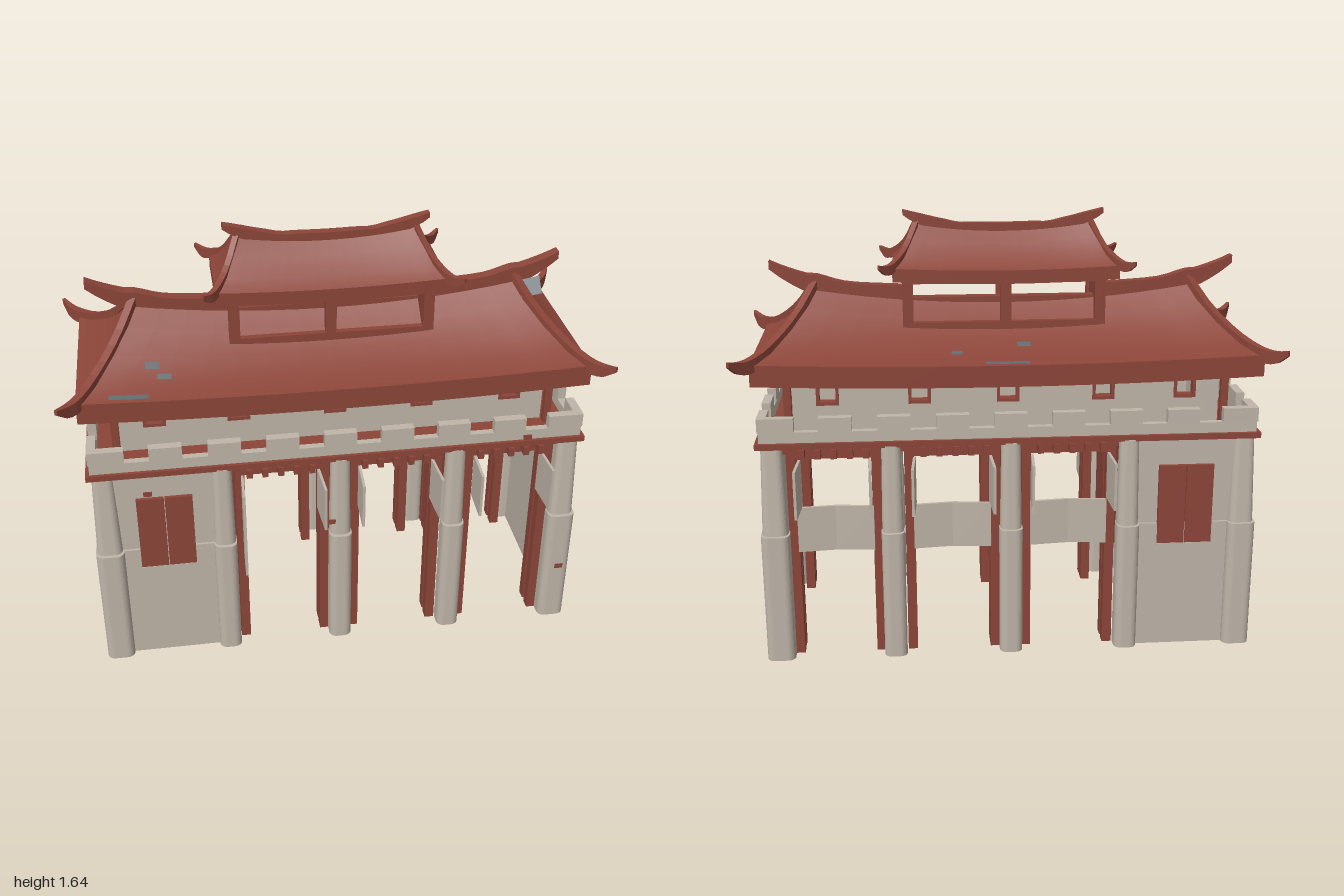
import * as THREE from 'three';
import { mergeGeometries } from 'three/addons/utils/BufferGeometryUtils.js';

const mat = (name, color) => {
  const m = new THREE.MeshStandardMaterial({ color });
  m.name = name;
  return m;
};

export function createModel() {
  const root = new THREE.Group();
  root.name = 'gatehouse';
  const stone = mat('stone', 0xbfb5a8);
  const red = mat('red timber', 0x8c4539);
  const slate = mat('slate', 0x5f696f);

  const add = (name, geo, m, parent = root) => {
    const mesh = new THREE.Mesh(geo, m);
    mesh.name = name;
    parent.add(mesh);
    return mesh;
  };
  // Box given by its limits
  const block = (x0, x1, y0, y1, z0, z1) =>
    new THREE.BoxGeometry(Math.abs(x1 - x0), y1 - y0, Math.abs(z1 - z0))
      .translate((x0 + x1) / 2, (y0 + y1) / 2, (z0 + z1) / 2);
  // Upright pier with rounded corners; topX and topZ shrink the top
  const pier = (x0, x1, y0, y1, z0, z1, topX = 1, topZ = 1, r = .028) => {
    const w = Math.abs(x1 - x0) / 2 - r, d = Math.abs(z1 - z0) / 2 - r, h = y1 - y0;
    const s = new THREE.Shape();
    [[w, d], [-w, d], [-w, -d], [w, -d]].forEach(([x, y], i) => s.absarc(x, y, r, i * Math.PI / 2, (i + 1) * Math.PI / 2));
    const g = new THREE.ExtrudeGeometry(s, { depth: h, bevelEnabled: false, curveSegments: 4 }).rotateX(-Math.PI / 2);
    const p = g.attributes.position;
    for (let i = 0; i < p.count; i++) {
      if (p.getY(i) > h / 2) p.setXYZ(i, p.getX(i) * topX, h, p.getZ(i) * topZ);
    }
    g.computeVertexNormals();
    return g.translate((x0 + x1) / 2, y0, (z0 + z1) / 2);
  };
  // Rectangular bar swept along points [x, y, z, width, height]
  const bar = (pts, steps = 12) => {
    const path = new THREE.CatmullRomCurve3(pts.map(p => new THREE.Vector3(p[0], p[1], p[2])));
    const size = new THREE.CatmullRomCurve3(pts.map(p => new THREE.Vector3(p[3], p[4], 0)));
    const pos = [], idx = [];
    for (let i = 0; i <= steps; i++) {
      const c = path.getPoint(i / steps), s = size.getPoint(i / steps), t = path.getTangent(i / steps);
      const side = new THREE.Vector3(-t.z, 0, t.x).normalize().multiplyScalar(s.x / 2);
      for (const [a, b] of [[-1, -1], [1, -1], [1, 1], [-1, 1]]) {
        pos.push(c.x + side.x * a, c.y + b * s.y / 2, c.z + side.z * a);
      }
    }
    for (let i = 0; i < steps; i++) for (let k = 0; k < 4; k++) {
      const a = i * 4 + k, b = i * 4 + (k + 1) % 4;
      idx.push(a, b + 4, b, a, a + 4, b + 4);
    }
    const e = steps * 4;
    idx.push(0, 1, 2, 0, 2, 3, e, e + 2, e + 1, e, e + 3, e + 2);
    const g = new THREE.BufferGeometry();
    g.setAttribute('position', new THREE.Float32BufferAttribute(pos, 3));
    g.setIndex(idx);
    const flat = g.toNonIndexed();
    flat.computeVertexNormals();
    return flat;
  };
  // Four curved faces following rings [halfX, halfZ, y, cornerLift]; short ends are lifted evenly
  const hipFaces = (rings, n = 14) => {
    const faces = [];
    for (let s = 0; s < 4; s++) {
      const pos = [], idx = [];
      rings.forEach(([hx, hz, y, lift]) => {
        for (let i = 0; i <= n; i++) {
          const u = i / n * 2 - 1, h = y + lift * (s % 2 ? 1 : u * u);
          pos.push(...[[u * hx, h, hz], [hx, h, -u * hz], [-u * hx, h, -hz], [-hx, h, u * hz]][s]);
        }
      });
      for (let r = 0; r < rings.length - 1; r++) for (let i = 0; i < n; i++) {
        const a = r * (n + 1) + i, b = a + n + 1;
        idx.push(a, a + 1, b + 1, a, b + 1, b);
      }
      const g = new THREE.BufferGeometry();
      g.setAttribute('position', new THREE.Float32BufferAttribute(pos, 3));
      g.setIndex(idx);
      g.computeVertexNormals();
      faces.push(g);
    }
    return mergeGeometries(faces);
  };
  const hipRoof = (name, rings, fasciaY, hip, ridge) => {
    const g = new THREE.Group();
    g.name = name;
    root.add(g);
    const [hx, hz, y, lift] = rings[0];
    add('roofSlopes', hipFaces(rings), red, g);
    add('eaveFascia', hipFaces([[hx, hz, fasciaY, lift], [hx, hz, y, lift]]), red, g);
    add('soffit', block(-hx + .002, hx - .002, fasciaY + lift, fasciaY + lift + .02, -hz + .002, hz - .002), red, g);
    for (const sx of [-1, 1]) {
      add('mainRidge', bar(ridge.map(p => [p[0] * sx, p[1], 0, p[2], p[3]]), 16), red, g);
      for (const sz of [-1, 1]) add('hipRidge', bar(hip.map(p => [p[0] * sx, p[1], p[2] * sz, p[3], p[4]])), red, g);
    }
  };
  const shapeOf = pts => new THREE.Shape(pts.map(p => new THREE.Vector2(...p)));
  // Upright wall with square window holes, facing +z
  const windowWall = (w, y0, y1, holes, depth) => {
    const s = shapeOf([[-w, y0], [w, y0], [w, y1], [-w, y1]]);
    for (const x of holes) s.holes.push(shapeOf([[x - .035, .96], [x - .035, 1.04], [x + .035, 1.04], [x + .035, .96]]));
    return new THREE.ExtrudeGeometry(s, { depth, bevelEnabled: false });
  };
  const frame = (cx, cy, hw, hh, t, d) => mergeGeometries([
    block(cx - hw, cx + hw, cy + hh - t, cy + hh, 0, d), block(cx - hw, cx + hw, cy - hh, cy - hh + t, 0, d),
    block(cx - hw, cx - hw + t, cy - hh, cy + hh, 0, d), block(cx + hw - t, cx + hw, cy - hh, cy + hh, 0, d)]);

  // Stone piers, timber posts and the chamber walls, same on front and back
  for (const s of [1, -1]) {
    for (const sx of [-1, 1]) {
      add('cornerPierBase', pier(sx * .82, sx * .925, 0, .5, s * .28, s * .4), stone);
      add('cornerPierTop', pier(sx * .825, sx * .92, .5, .835, s * .285, s * .385, .8, .68), stone);
    }
    for (const x of [-.44, 0, .44]) {
      add('pierBase', pier(x - .043, x + .043, 0, .5, s * .31, s * .4), stone);
      add('pierTop', pier(x - .04, x + .04, .5, .835, s * .305, s * .385, .88, .8), stone);
    }
    for (const x of [-.375, -.058, .058, .375, .495, .805]) {
      for (const z of [.32, .26]) add('timberPost', block(x - .018, x + .018, 0, .83, s * (z - .02), s * (z + .02)), red);
    }
    add('chamberWallBase', block(-.83, -.47, 0, .5, s * .34, s * .368), stone);
    add('chamberWallTop', block(-.85, -.45, .5, .835, s * .34, s * .358), stone);
    for (const x of [-.709, -.604]) add('chamberShutter', block(x - .051, x + .051, .42, .73, s * .33, s * .372), red);
    add('windowSill', block(-.76, -.55, .41, .42, s * .34, s * .374), stone);

    // Lintels and brackets over the three bays
    for (const [a, b] of [[-.39, -.04], [.04, .39], [.48, .82]]) {
      add('bayLintel', block(a, b, .785, .83, s * .29, s * .345), red);
      for (let x = a + .05; x < b - .02; x += .058) add('bracket', block(x - .011, x + .011, .795, .83, s * .34, s * .385), red);
    }
    // Open shutters standing out of the bays
    [-.365, -.08, .075, .355, .52, .775].forEach((x, i) => {
      const tall = s > 0 && i === 0;
      const m = add('openShutter', block(-.005, .005, tall ? .42 : .6, .78, 0, s * .145), stone);
      m.position.set(x, 0, s * .335);
      m.rotation.y = s * (i % 2 ? .06 : -.04);
    });
  }
  // Low stone panels across the rear of each bay
  for (const [a, b] of [[-.36, -.075], [.075, .36], [.51, .79]]) {
    const w = (b - a) / 2 + .002;
    for (const k of [-1, 1]) {
      const m = add('bayPanel', block(-w / 2, w / 2, .42, .595, -.006, .006), stone);
      m.position.set((a + b) / 2 + k * w / 2, 0, -.335);
      m.rotation.y = k * .1;
    }
  }
  // Arched timber partitions behind the inner piers, the chamber one reaching lower
  for (const [x, foot] of [[-.44, .28], [0, .4], [.44, .4]]) {
    const arch = new THREE.Shape();
    arch.moveTo(-.3, foot);
    arch.quadraticCurveTo(0, foot + .18, .3, foot);
    arch.lineTo(.3, .82);
    arch.lineTo(-.3, .82);
    const g = new THREE.ExtrudeGeometry(arch, { depth: .03, bevelEnabled: false, curveSegments: 10 });
    add('archedPartition', g.rotateY(Math.PI / 2).translate(x - .015, 0, 0), red);
  }
  // Closed right end with a small window, open left end
  add('endWallBase', block(.87, .912, 0, .5, -.3, .3), stone);
  add('endWallTop', block(.865, .9, .5, .835, -.31, .31), stone);
  const endWindow = new THREE.Group();
  endWindow.name = 'endWindow';
  endWindow.position.x = .895;
  endWindow.rotation.y = Math.PI / 2;
  root.add(endWindow);
  add('windowBacking', block(-.06, .06, .6, .72, 0, .008), red, endWindow);
  add('windowPane', block(-.04, .04, .645, .66, .003, .0095), slate, endWindow);
  add('windowFrame', frame(0, .66, .063, .063, .02, .014), red, endWindow);
  add('windowMullion', block(-.004, .004, .6, .72, 0, .012), red, endWindow);
  add('windowRail', block(-.06, .06, .664, .672, 0, .012), red, endWindow);
  add('openEndLintel', block(-.9, -.865, .74, .835, -.31, .31), stone);

  // Deck and battlements
  add('deck', block(-.89, .89, .8, .83, -.335, .335), red);
  add('redLedge', block(-.93, .93, .83, .852, -.375, .375), red);
  for (const s of [1, -1]) {
    add('parapetLong', block(-.915, .915, .852, .892, s * .335, s * .362), stone);
    add('parapetShort', block(s * .888, s * .915, .852, .892, -.362, .362), stone);
    for (let i = 0; i < 9; i++) {
      const x = (i - 4) * .213, half = Math.abs(i - 4) === 4 ? .065 : .06;
      add('merlon', block(x - half, x + half, .892, .945, s * .333, s * .366), stone);
    }
    for (let i = 0; i < 4; i++) {
      const z = (i - 1.5) * .202;
      add('merlonShort', block(s * .886, s * .919, .892, .945, z - .06, z + .06), stone);
    }
  }

  // Upper hall with see-through windows
  const holes = [-.67, -.36, 0, .33, .67];
  for (const s of [1, -1]) {
    const side = new THREE.Group();
    side.name = s > 0 ? 'hallFront' : 'hallBack';
    root.add(side);
    add('hallLongWall', windowWall(.8, .852, 1.09, holes, .025).translate(0, 0, s > 0 ? .195 : -.22), stone, side);
    for (const x of holes) add('hallWindowFrame', frame(x, 1, .042, .05, .012, .035).translate(0, 0, s > 0 ? .19 : -.225), red, side);
    const end = add('hallEndWall', windowWall(.22, .852, 1.09, [0], .025), stone, side);
    end.rotation.y = Math.PI / 2;
    end.position.x = s > 0 ? .775 : -.8;
    const endFrame = add('hallEndFrame', frame(0, 1, .045, .055, .012, .035), red, side);
    endFrame.rotation.y = Math.PI / 2;
    endFrame.position.x = s > 0 ? .77 : -.805;
    for (const x of [-.815, .815]) add('hallPost', block(x - .014, x + .014, .852, 1.09, s * .23, s * .255), red, side);
  }
  // Worn red patch on the right end of the hall, and small red stains on the stone
  const patch = shapeOf([[-.165, 1.07], [-.165, 1.01], [-.12, .975], [-.05, .97], [-.06, 1.03], [-.11, 1.07]]);
  add('hallPatch', new THREE.ExtrudeGeometry(patch, { depth: .004, bevelEnabled: false }).rotateY(Math.PI / 2).translate(.8, 0, 0), red);
  for (const [x, y, z] of [[.71, .862, .363], [.88, .255, .399], [-.03, .56, .378], [-.715, .745, .357]]) {
    add('frontStain', block(x - .016, x + .016, y - .01, y + .01, z, z + .004), red);
  }
  for (const [x, y, z] of [[.911, .26, .135], [.899, .63, -.14]]) {
    add('endStain', block(x, x + .004, y - .01, y + .01, z - .015, z + .015), red);
  }

  // Main sweeping roof, sagging towards the middle
  const mainRings = [[.935, .345, 1.12, .02], [.885, .265, 1.135, .03], [.81, .165, 1.178, .047], [.75, .08, 1.235, .058], [.72, .012, 1.295, .06]];
  hipRoof('mainRoof', mainRings, 1.04,
    [[.995, 1.165, .43, .012, .02], [.965, 1.14, .385, .025, .045], [.925, 1.14, .335, .03, .05], [.86, 1.18, .235, .03, .04], [.78, 1.262, .115, .03, .035], [.715, 1.365, .02, .03, .03]],
    [[.36, 1.322, .045, .065], [.6, 1.338, .045, .065], [.74, 1.37, .045, .065], [.83, 1.41, .045, .045], [.88, 1.44, .04, .03]]);
  add('middleRidge', block(-.36, .36, 1.25, 1.31, -.022, .022), red);

  // Weathered slate patches lying on the main slopes: [x, z, width, depth]
  const slopeY = (x, z) => {
    const i = Math.max(0, mainRings.findIndex(r => r[1] < z) - 1);
    const [a, b] = [mainRings[i], mainRings[i + 1]];
    const t = (a[1] - z) / (a[1] - b[1]);
    const [hx, , y, lift] = a.map((v, k) => v + (b[k] - v) * t);
    return y + lift * (x / hx) ** 2;
  };
  for (const [x, z, w, d] of [[.01, -.33, .16, .02], [-.06, -.205, .05, .025], [.19, -.25, .04, .02],
    [-.66, .2, .05, .025], [-.62, .24, .05, .02], [-.75, .325, .14, .02], [.77, .05, .08, .05]]) {
    const g = new THREE.PlaneGeometry(w, d, 4, 2).rotateX(-Math.PI / 2).translate(x, 0, z);
    const p = g.attributes.position;
    for (let i = 0; i < p.count; i++) p.setY(i, slopeY(p.getX(i), Math.abs(p.getZ(i))) + .005);
    g.computeVertexNormals();
    add('slatePatch', g, slate);
  }

  // Lantern storey
  for (const s of [1, -1]) {
    for (const x of [-.355, 0, .365]) add('lanternPost', block(x - .02, x + .02, 1.2, 1.41, s * .095, s * .125), red);
    add('lanternSill', block(-.37, .38, 1.18, 1.235, s * .1, s * .125), red);
    add('lanternLintel', block(-.37, .38, 1.38, 1.41, s * .1, s * .125), red);
    add('lanternEnd', block(s * .345, s * .37, 1.2, 1.41, -.12, .12), red);
  }
  // Upper roof
  hipRoof('upperRoof',
    [[.42, .17, 1.435, .012], [.39, .115, 1.465, .015], [.355, .055, 1.52, .025], [.335, .01, 1.565, .03]],
    1.385,
    [[.468, 1.462, .228, .01, .015], [.44, 1.445, .195, .02, .035], [.41, 1.457, .155, .022, .035], [.37, 1.5, .085, .022, .03], [.33, 1.585, .015, .022, .025]],
    [[0, 1.57, .035, .035], [.1, 1.572, .035, .035], [.2, 1.58, .035, .035], [.3, 1.6, .035, .04], [.35, 1.617, .035, .03], [.378, 1.63, .03, .018]]);

  return root;
}
